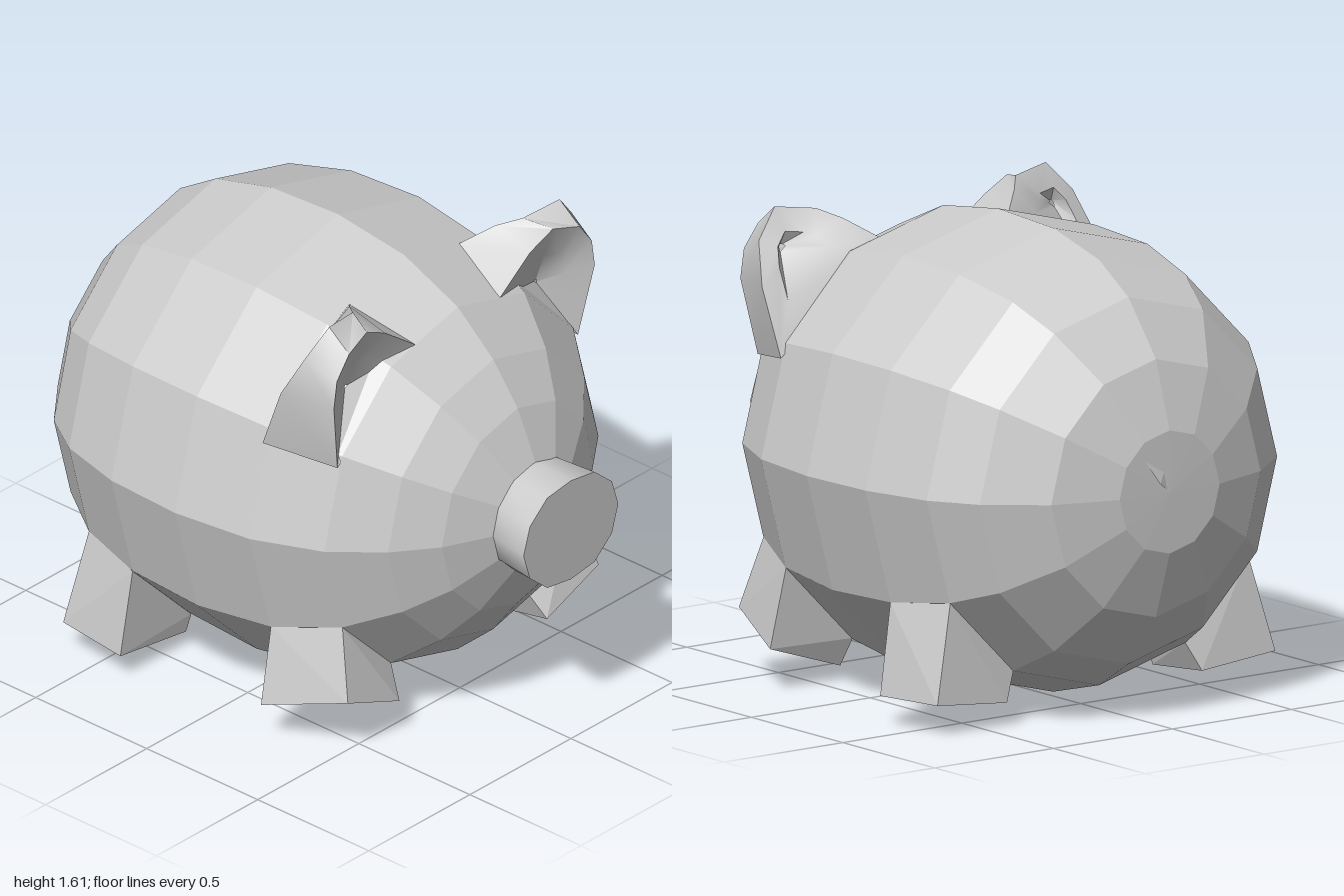
import * as THREE from 'three';
import { toCreasedNormals } from 'three/addons/utils/BufferGeometryUtils.js';
import { ConvexGeometry } from 'three/addons/geometries/ConvexGeometry.js';

const flat = new THREE.MeshStandardMaterial({ color: 0xcccccc, flatShading: true });
const smooth = new THREE.MeshStandardMaterial({ color: 0xcccccc, side: THREE.DoubleSide });
const V = (p, side = 1) => new THREE.Vector3(p[0] * side, p[1], p[2]);

// Twelve-sided barrel body turned around the z axis: [radius, z]
function bodyGeometry() {
  const profile = [
    [0, -0.99], [0.21, -0.985], [0.44, -0.91], [0.625, -0.76], [0.725, -0.6], [0.79, -0.35],
    [0.805, -0.05], [0.765, 0.25], [0.66, 0.49], [0.52, 0.65], [0.375, 0.76], [0.2, 0.84], [0, 0.84],
  ];
  const g = new THREE.LatheGeometry(profile.map(([r, z]) => new THREE.Vector2(r, z)), 12);
  return g.rotateX(Math.PI / 2).translate(0, 0.805, 0);
}

// Short snout that widens sideways towards its flat end
function snoutGeometry() {
  const g = new THREE.CylinderGeometry(0.2, 0.2, 0.2, 12).rotateX(Math.PI / 2).translate(0, 0, 0.9);
  const p = g.attributes.position;
  for (let i = 0; i < p.count; i++) {
    if (p.getZ(i) < 0.95) continue;
    p.setX(i, p.getX(i) * 1.17);
    p.setY(i, THREE.MathUtils.clamp(p.getY(i), -0.19, 0.19));
  }
  return toCreasedNormals(g.translate(0, 0.805, 0), 0.7);
}

// Stubby legs: four corners on the body, four at the foot
const frontLeg = [
  [0.57, 0.475, 0.49], [0.33, 0.235, 0.49], [0.66, 0.425, 0.25], [0.38, 0.145, 0.25],
  [0.62, 0.23, 0.56], [0.365, 0.13, 0.56], [0.72, 0.15, 0.26], [0.41, 0.05, 0.28],
];
const backLeg = [
  [0.685, 0.41, -0.35], [0.395, 0.12, -0.35], [0.625, 0.445, -0.6], [0.36, 0.18, -0.6],
  [0.735, 0.1, -0.36], [0.41, 0.055, -0.36], [0.71, 0.11, -0.64], [0.41, 0.08, -0.63],
];

// Ear: a front rim and a back rim joined by a wall, each closed by a hollow
function earGeometry(side) {
  const front = [
    [0.21, 1.41, 0.49], [0.36, 1.52, 0.49], [0.46, 1.57, 0.5], [0.57, 1.54, 0.52],
    [0.63, 1.46, 0.52], [0.645, 1.36, 0.52], [0.595, 1.1, 0.49],
  ].map((p) => V(p, side));
  const back = [
    [0.26, 1.49, 0.24], [0.36, 1.56, 0.33], [0.42, 1.59, 0.4], [0.57, 1.61, 0.43],
    [0.66, 1.51, 0.4], [0.7, 1.37, 0.33], [0.69, 1.14, 0.24],
  ].map((p) => V(p, side));
  const shrink = (rim, c, t) => rim.map((p) => p.clone().lerp(V(c, side), t));
  const cup = [0.47, 1.33, 0.41];
  const rows = [
    shrink(front, cup, 0.97), shrink(front, cup, 0.5), front,
    back, shrink(back, [0.56, 1.47, 0.34], 0.55), shrink(back, [0.57, 1.48, 0.4], 0.95),
  ];
  const n = front.length, index = [];
  for (let r = 0; r < rows.length - 1; r++) {
    for (let i = 0; i < n; i++) {
      const j = (i + 1) % n;
      const a = r * n + i, b = r * n + j, c = a + n, d = b + n;
      if (side > 0) index.push(a, b, c, b, d, c);
      else index.push(a, c, b, b, c, d);
    }
  }
  const g = new THREE.BufferGeometry().setFromPoints(rows.flat());
  g.setIndex(index);
  return toCreasedNormals(g, 0.75);
}

export function createModel() {
  const model = new THREE.Group();
  const add = (name, geometry, material) => {
    const mesh = new THREE.Mesh(geometry, material);
    mesh.name = name;
    model.add(mesh);
  };

  add('body', bodyGeometry(), flat);
  add('snout', snoutGeometry(), smooth);

  for (const [label, side] of [['left', 1], ['right', -1]]) {
    add(label + 'FrontLeg', new ConvexGeometry(frontLeg.map((p) => V(p, side))), flat);
    add(label + 'BackLeg', new ConvexGeometry(backLeg.map((p) => V(p, side))), flat);
    add(label + 'Ear', earGeometry(side), smooth);
  }

  // Small pointed tail lying against the rump
  const tail = [[-0.02, 0.79, -0.98], [0.13, 0.96, -0.98], [0.01, 0.9, -0.98], [0.05, 0.84, -1]];
  add('tail', new ConvexGeometry(tail.map((p) => V(p))), flat);
  return model;
}
